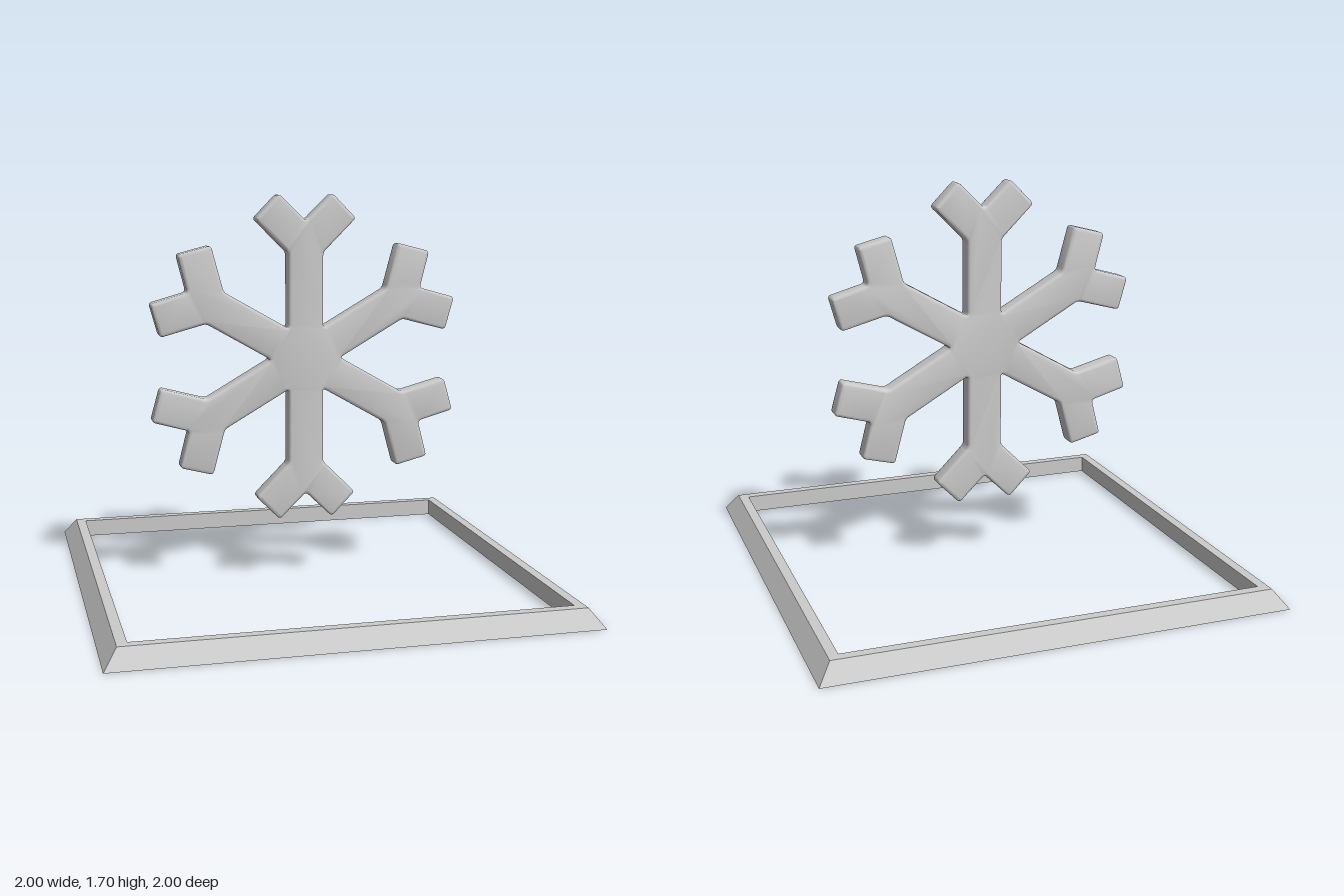
import * as THREE from 'three';
import { toCreasedNormals } from 'three/addons/utils/BufferGeometryUtils.js';

const ARMS = 6;
const HALF_DEPTH = 0.043;
const BEVEL = 0.014;
const CENTER_Y = 0.992;

// Closed shape through the points, each corner softened by a short curve
function roundedShape(points, radius) {
  const shape = new THREE.Shape();
  const n = points.length;
  points.forEach((p, i) => {
    const towards = (q) => p.clone().add(q.clone().sub(p).setLength(radius));
    const a = towards(points[(i + n - 1) % n]);
    const b = towards(points[(i + 1) % n]);
    if (i === 0) shape.moveTo(a.x, a.y);
    else shape.lineTo(a.x, a.y);
    shape.quadraticCurveTo(p.x, p.y, b.x, b.y);
  });
  shape.closePath();
  return shape;
}

function createSnowflake(material) {
  // One forked arm pointing up, counter-clockwise from its right root corner
  const arm = [
    [0.078, 0.135], [0.078, 0.463], [0.224, 0.609], [0.119, 0.716], [0, 0.6],
    [-0.119, 0.716], [-0.224, 0.609], [-0.078, 0.463],
  ];
  const outline = [];
  for (let i = 0; i < ARMS; i++) {
    const angle = (i / ARMS) * Math.PI * 2;
    for (const [x, y] of arm) {
      outline.push(new THREE.Vector2(x, y).rotateAround(new THREE.Vector2(), angle));
    }
  }
  const geometry = new THREE.ExtrudeGeometry(roundedShape(outline, 0.016), {
    depth: 2 * (HALF_DEPTH - BEVEL),
    curveSegments: 4,
    bevelEnabled: true,
    bevelSize: BEVEL,
    bevelOffset: -BEVEL,
    bevelThickness: BEVEL,
    bevelSegments: 3,
  });
  geometry.translate(0, 0, BEVEL - HALF_DEPTH);
  const mesh = new THREE.Mesh(toCreasedNormals(geometry, 0.6), material);
  mesh.name = 'snowflake';
  mesh.position.y = CENTER_Y;
  return mesh;
}

function createBaseFrame() {
  // Four-sided sweep of the frame section: sloped outside, upright inside
  const section = [[0.9, 0], [1, 0], [0.943, 0.077], [0.9, 0.077], [0.9, 0]];
  const profile = section.map(([r, y]) => new THREE.Vector2(r * Math.SQRT2, y));
  const geometry = new THREE.LatheGeometry(profile, 4, Math.PI / 4);
  const mesh = new THREE.Mesh(
    geometry,
    new THREE.MeshStandardMaterial({ color: 0xcccccc, flatShading: true }),
  );
  mesh.name = 'baseFrame';
  return mesh;
}

export function createModel() {
  const model = new THREE.Group();
  model.name = 'snowflakeOverFrame';
  model.add(
    createSnowflake(new THREE.MeshStandardMaterial({ color: 0xcccccc })),
    createBaseFrame(),
  );
  return model;
}
